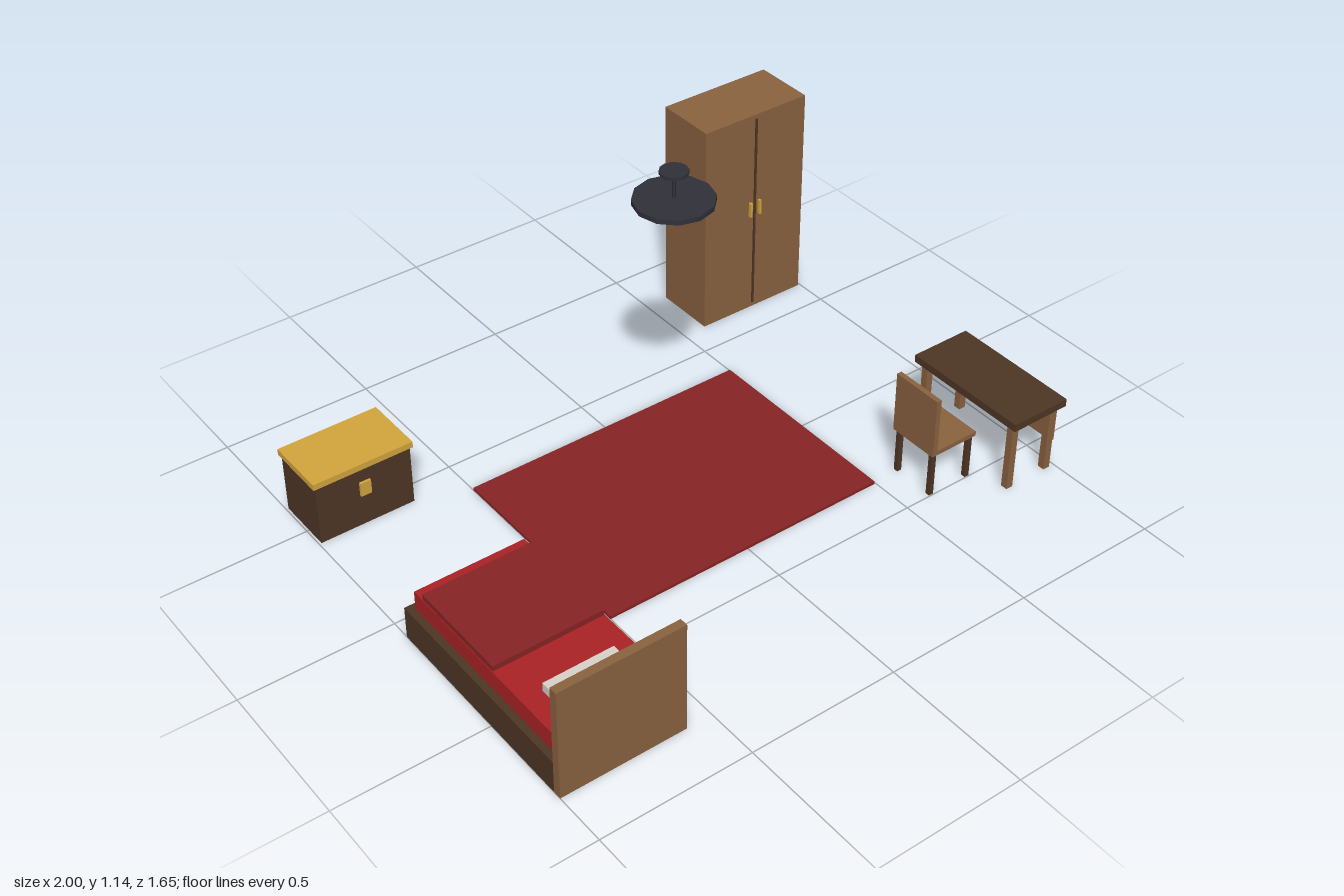
import * as THREE from 'three';

const mat = (name, color) => {
  const m = new THREE.MeshStandardMaterial({ color });
  m.name = name;
  return m;
};

export function createModel() {
  const wood = mat('wood', 0x8a6340);
  const darkWood = mat('dark wood', 0x4e3625);
  const gold = mat('gold', 0xd4a63e);
  const red = mat('red', 0xac2226);
  const darkRed = mat('dark red', 0x872425);
  const linen = mat('linen', 0xd8d3ca);
  const iron = mat('iron', 0x31313a);

  const room = new THREE.Group();
  room.name = 'bedroomFurniture';
  const group = (name) => {
    const g = new THREE.Group();
    g.name = name;
    room.add(g);
    return g;
  };
  // box given by its limits on each axis
  const box = (parent, name, material, [x0, x1], [y0, y1], [z0, z1]) => {
    const mesh = new THREE.Mesh(new THREE.BoxGeometry(x1 - x0, y1 - y0, z1 - z0), material);
    mesh.position.set((x0 + x1) / 2, (y0 + y1) / 2, (z0 + z1) / 2);
    mesh.name = name;
    parent.add(mesh);
  };
  // four legs at the corners of the given limits
  const legs = (parent, name, material, [x0, x1], height, [z0, z1], w) => {
    for (const x of [x0, x1 - w])
      for (const z of [z0, z1 - w])
        box(parent, name, material, [x, x + w], [0, height], [z, z + w]);
  };

  // rug
  box(room, 'rug', darkRed, [-0.5, 0.495], [0, 0.01], [-0.36, 0.355]);

  // bed
  const bed = group('bed');
  box(bed, 'bedFrame', darkWood, [-1, -0.586], [0, 0.11], [0.067, 0.797]);
  box(bed, 'headboard', wood, [-1, -0.586], [0, 0.38], [0.797, 0.825]);
  box(bed, 'mattress', red, [-0.976, -0.608], [0.11, 0.173], [0.088, 0.775]);
  box(bed, 'blanket', darkRed, [-0.974, -0.61], [0.168, 0.192], [0.13, 0.482]);
  box(bed, 'pillow', linen, [-0.908, -0.676], [0.173, 0.201], [0.62, 0.74]);

  // storage chest
  const chest = group('chest');
  box(chest, 'chestBody', darkWood, [-0.992, -0.67], [0, 0.208], [-0.626, -0.427]);
  box(chest, 'chestLid', gold, [-1, -0.662], [0.208, 0.229], [-0.632, -0.421]);
  box(chest, 'chestLatch', gold, [-0.849, -0.813], [0.112, 0.16], [-0.427, -0.418]);

  // wardrobe
  const wardrobe = group('wardrobe');
  box(wardrobe, 'wardrobeBody', wood, [0.585, 0.992], [0, 0.75], [-0.827, -0.612]);
  box(wardrobe, 'doorGap', darkWood, [0.785, 0.792], [0.018, 0.735], [-0.612, -0.607]);
  for (const x of [0.77, 0.807])
    box(wardrobe, 'doorHandle', gold, [x - 0.004, x + 0.004], [0.37, 0.422], [-0.612, -0.601]);

  // desk
  const desk = group('desk');
  box(desk, 'deskTop', darkWood, [0.787, 1], [0.24, 0.266], [0.193, 0.637]);
  legs(desk, 'deskLeg', wood, [0.8, 0.981], 0.24, [0.214, 0.617], 0.024);
  box(desk, 'deskBackPanel', wood, [0.974, 0.986], [0.105, 0.24], [0.214, 0.617]);

  // chair facing the desk
  const chair = group('chair');
  box(chair, 'chairSeat', wood, [0.585, 0.762], [0.155, 0.171], [0.327, 0.503]);
  box(chair, 'chairBack', wood, [0.585, 0.602], [0.171, 0.365], [0.327, 0.505]);
  legs(chair, 'chairLeg', darkWood, [0.591, 0.754], 0.155, [0.336, 0.497], 0.016);

  // ceiling lamp
  const lamp = group('ceilingLamp');
  const disc = (name, r, y0, y1) => {
    const mesh = new THREE.Mesh(new THREE.CylinderGeometry(r, r, y1 - y0, 12), iron);
    mesh.position.set(-0.003, (y0 + y1) / 2, -0.003);
    mesh.name = name;
    lamp.add(mesh);
  };
  disc('lampPlate', 0.121, 1.031, 1.047);
  disc('lampRod', 0.005, 1.047, 1.126);
  disc('ceilingMount', 0.043, 1.126, 1.136);

  return room;
}
